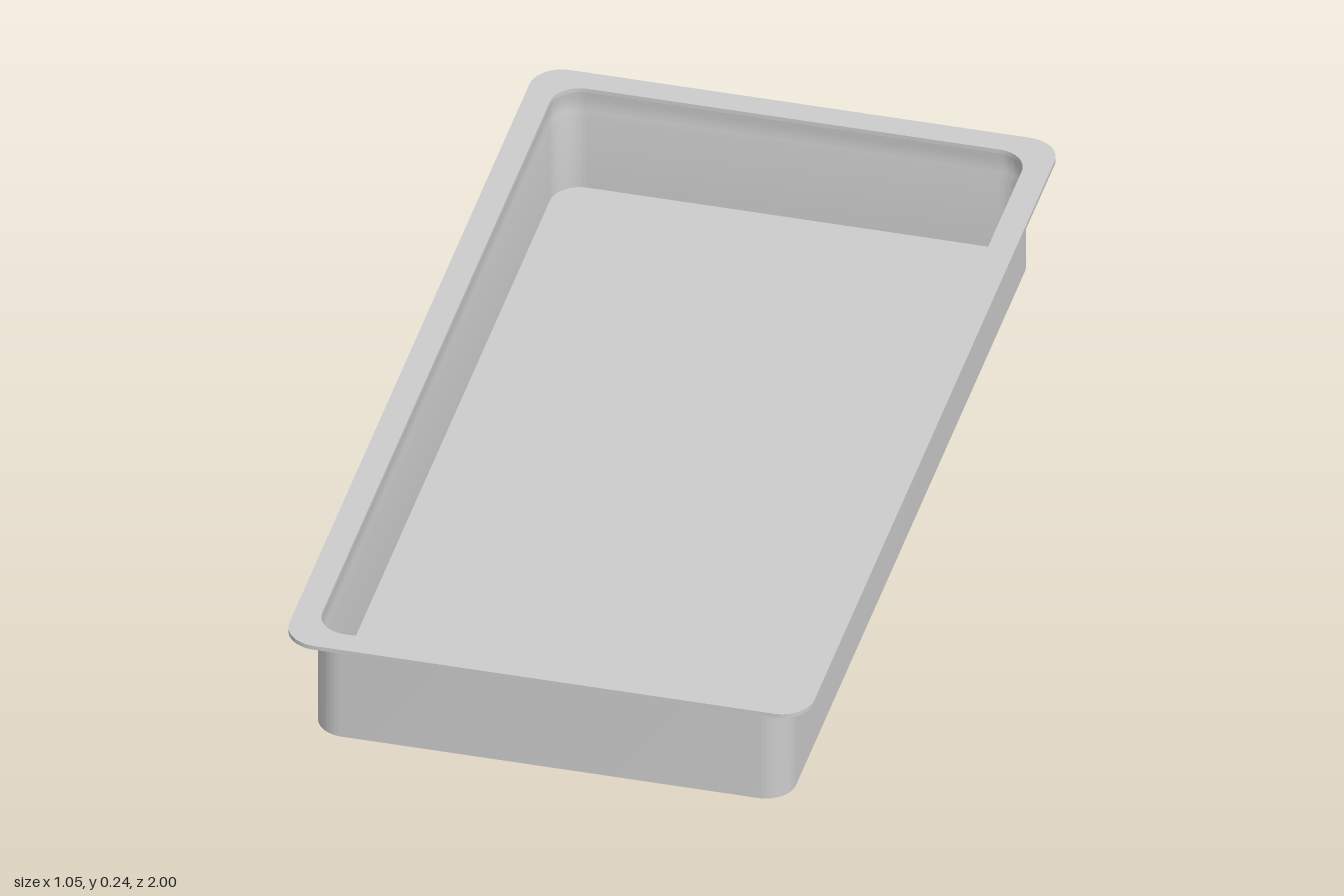
import * as THREE from 'three';
import { toCreasedNormals } from 'three/addons/utils/BufferGeometryUtils.js';

const HALF_X = 0.475, HALF_Z = 0.95, CORNER = 0.06;

// Rounded rectangle, grown or shrunk from the outer wall by an offset
function outline(offset, radius = CORNER, Kind = THREE.Shape) {
  const w = HALF_X + offset, d = HALF_Z + offset, r = radius;
  const s = new Kind();
  s.moveTo(w, -d + r);
  s.lineTo(w, d - r);
  s.absarc(w - r, d - r, r, 0, Math.PI / 2);
  s.absarc(-w + r, d - r, r, Math.PI / 2, Math.PI);
  s.absarc(-w + r, -d + r, r, Math.PI, Math.PI * 1.5);
  s.absarc(w - r, -d + r, r, Math.PI * 1.5, Math.PI * 2);
  return s;
}

// Flat horizontal plate, optionally with an opening
function plate(shape, y, height) {
  const g = new THREE.ExtrudeGeometry(shape, { depth: height, bevelEnabled: false, curveSegments: 10 });
  g.rotateX(-Math.PI / 2).translate(0, y, 0);
  return toCreasedNormals(g, 0.5);
}

// Sweep an [offset, y] profile around the rounded rectangle
function sweep(profile) {
  const rings = profile.map(([offset, y]) =>
    outline(offset).getPoints(10).slice(0, -1).map((p) => [p.x, y, -p.y]));
  const n = rings[0].length, position = [];
  for (let j = 0; j < rings.length - 1; j++) {
    for (let i = 0; i < n; i++) {
      const k = (i + 1) % n;
      const a = rings[j][i], b = rings[j][k], c = rings[j + 1][k], d = rings[j + 1][i];
      position.push(...a, ...b, ...c, ...a, ...c, ...d);
    }
  }
  const g = new THREE.BufferGeometry();
  g.setAttribute('position', new THREE.Float32BufferAttribute(position, 3));
  g.computeVertexNormals();
  return toCreasedNormals(g, 0.5);
}

export function createModel() {
  const group = new THREE.Group();
  group.name = 'tray';
  const material = new THREE.MeshStandardMaterial({ color: 0xcccccc });
  const add = (name, geometry) => {
    const mesh = new THREE.Mesh(geometry, material);
    mesh.name = name;
    group.add(mesh);
  };

  // Floor of the tray
  add('floor', plate(outline(-0.003), 0, 0.006));

  // Thin wall: straight outside, shallow groove below the rim inside
  add('wall', sweep([
    [-0.005, 0], [0, 0], [0, 0.232],
    [-0.005, 0.232], [-0.003, 0.215], [-0.002, 0.2], [-0.003, 0.185], [-0.005, 0.17],
    [-0.005, 0.004],
  ]));

  // Flat rim around the opening
  const rim = outline(0.048, 0.065);
  rim.holes.push(outline(-0.005, CORNER, THREE.Path));
  add('rim', plate(rim, 0.23, 0.009));

  return group;
}
